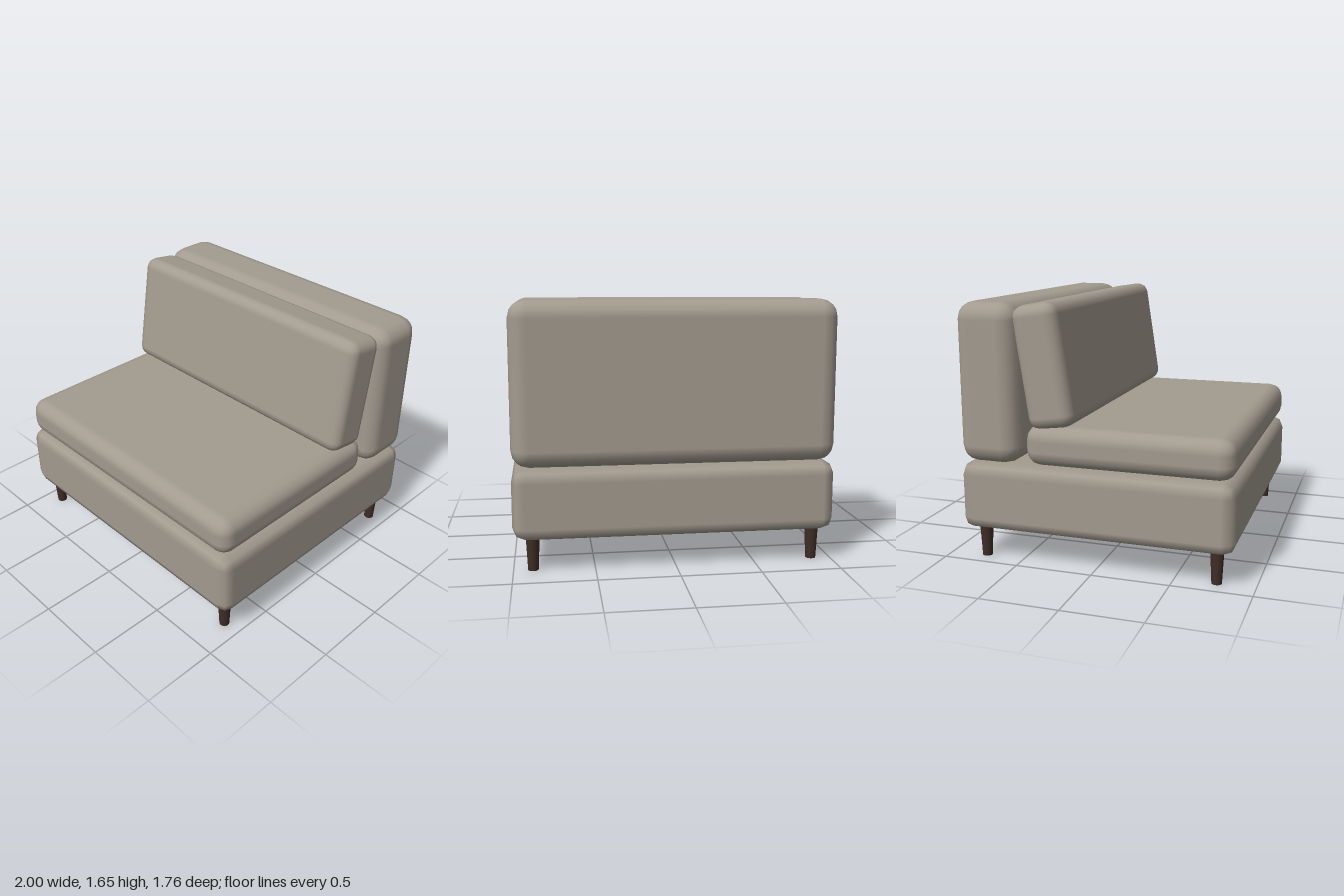
import * as THREE from 'three';
import { RoundedBoxGeometry } from 'three/addons/geometries/RoundedBoxGeometry.js';

export function createModel() {
  const group = new THREE.Group();
  const fabric = new THREE.MeshStandardMaterial({ color: 0xa39b8f });
  const wood = new THREE.MeshStandardMaterial({ color: 0x3f2e26 });

  // Upholstered block: size, centre, edge radius and rounding steps
  function block(name, [w, h, d], [x, y, z], radius, segments, tilt = 0) {
    const mesh = new THREE.Mesh(new RoundedBoxGeometry(w, h, d, segments, radius), fabric);
    mesh.name = name;
    mesh.position.set(x, y, z);
    mesh.rotation.x = tilt;
    group.add(mesh);
  }

  block('base', [2, 0.44, 1.76], [0, 0.42, 0], 0.08, 1);
  block('seatCushion', [1.96, 0.257, 1.315], [0, 0.772, 0.213], 0.095, 2);
  block('backrest', [2, 1.005, 0.4], [0, 1.143, -0.68], 0.11, 2);
  // Loose cushion leaning back against the backrest
  block('backCushion', [1.94, 0.764, 0.296], [0, 1.26, -0.322], 0.075, 2, -0.15);

  // Four tapered round legs
  const legGeometry = new THREE.CylinderGeometry(0.043, 0.032, 0.22, 20);
  for (const sx of [1, -1]) {
    for (const sz of [1, -1]) {
      const leg = new THREE.Mesh(legGeometry, wood);
      leg.name = (sz > 0 ? 'front' : 'back') + (sx > 0 ? 'Left' : 'Right') + 'Leg';
      leg.position.set(sx * 0.88, 0.11, sz * 0.76);
      group.add(leg);
    }
  }
  return group;
}
